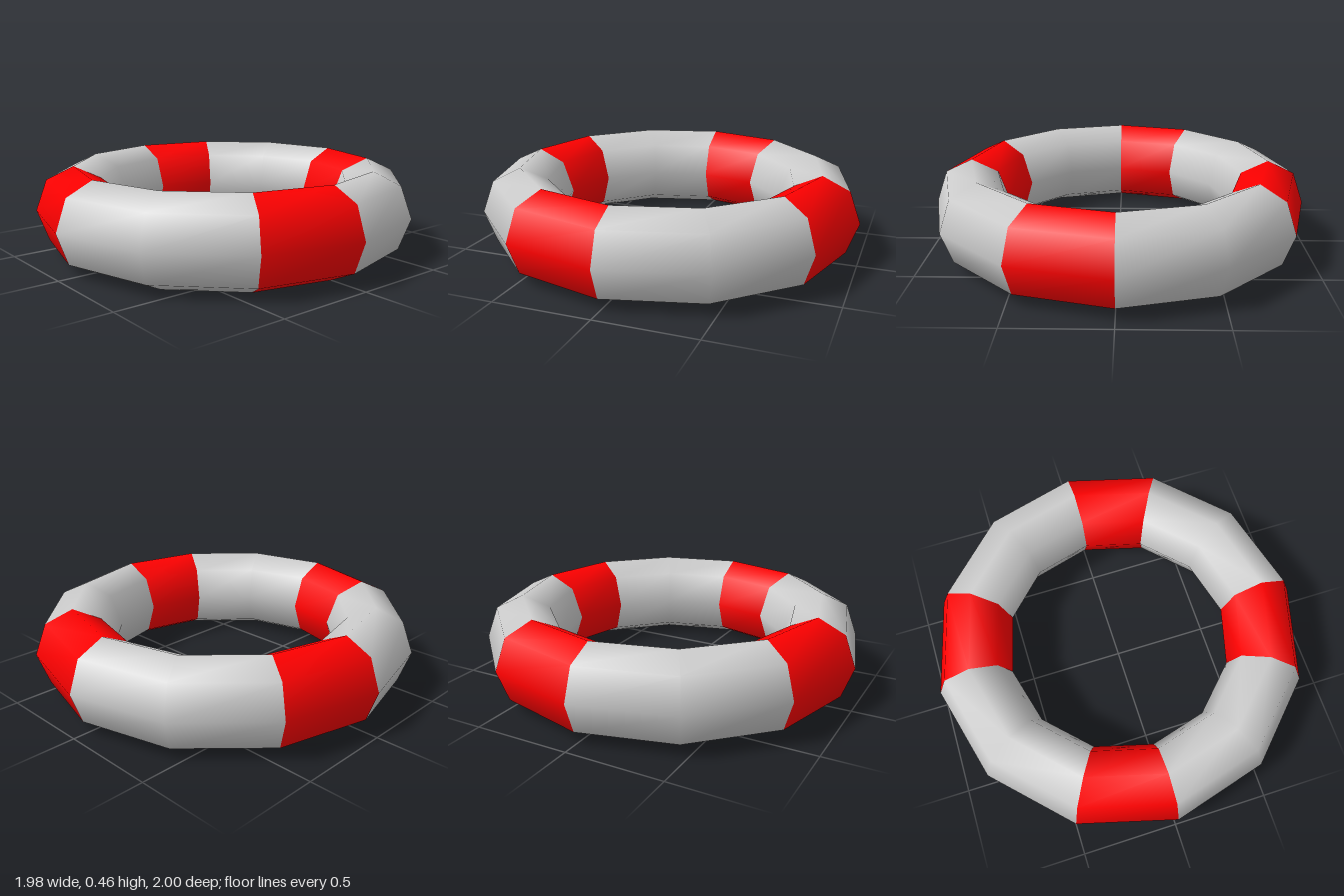
import * as THREE from 'three';
import { mergeVertices } from 'three/addons/utils/BufferGeometryUtils.js';

const STEP = Math.PI / 6; // the ring has twelve straight segments
const RING = 0.8, TUBE = 0.2, HALF_HEIGHT = 0.228;

// A run of ring segments, smooth within itself and creased where it meets the next
function ringPiece(first, count) {
  let g = new THREE.TorusGeometry(RING, TUBE, 8, count, count * STEP);
  g.rotateX(Math.PI / 2);
  g.rotateY(-first * STEP);
  g.scale(0.988, HALF_HEIGHT / TUBE, 1);
  g.translate(0, HALF_HEIGHT, 0);
  g.deleteAttribute('normal');
  g.deleteAttribute('uv');
  g = mergeVertices(g, 1e-4);
  g.computeVertexNormals();
  return g;
}

export function createModel() {
  const group = new THREE.Group();
  group.name = 'lifebuoy';
  const grey = new THREE.MeshStandardMaterial({ color: 0xcccccc });
  const red = new THREE.MeshStandardMaterial({ color: 0xff0000 });

  // Four short red bands alternate with four longer grey sections
  for (let i = 0; i < 4; i++) {
    const band = new THREE.Mesh(ringPiece(i * 3, 1), red);
    band.name = `redBand${i + 1}`;
    const section = new THREE.Mesh(ringPiece(i * 3 + 1, 2), grey);
    section.name = `greySection${i + 1}`;
    group.add(band, section);
  }
  return group;
}
